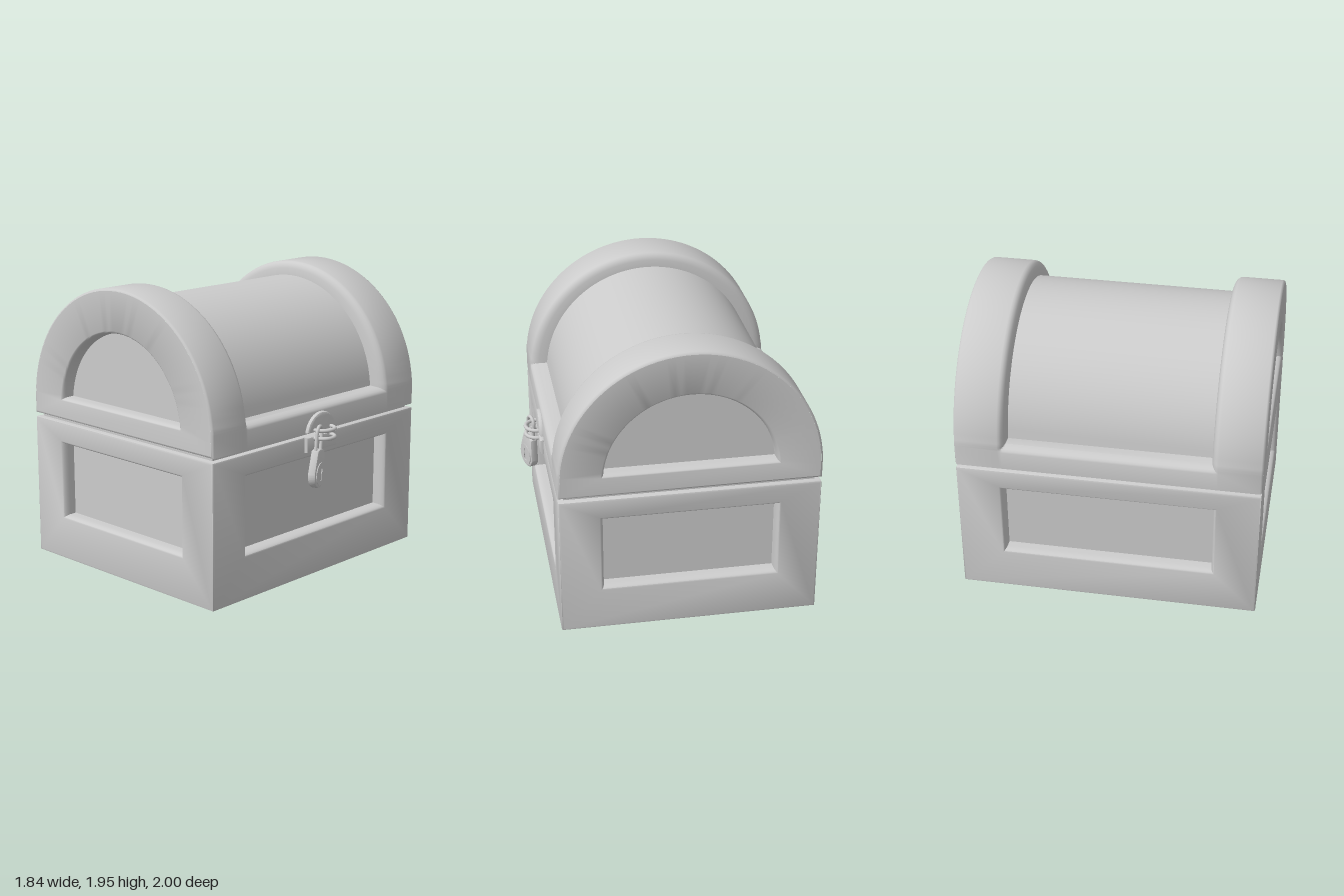
import * as THREE from 'three';
import { toCreasedNormals } from 'three/addons/utils/BufferGeometryUtils.js';

const material = new THREE.MeshStandardMaterial({ color: 0xcccccc });
const CX = -0.065, HW = 0.855, HD = 1;         // chest centre in x, half width, half depth
const BASE_TOP = 0.97, LID_BOTTOM = 0.995, ARC_Y = 1.09;
const V = (x, y, z) => new THREE.Vector3(x, y, z);

// Rounded step into a recess: [sideways share, depth share]
const STEP = [[0, 0], [0.3, 0.04], [0.55, 0.13], [0.78, 0.28], [0.93, 0.5], [1, 1]];

function mesh(name, geometry, parent) {
  const m = new THREE.Mesh(geometry, material);
  m.name = name;
  parent.add(m);
  return m;
}

// Skin closed rings of equal length; optionally fill the last ring
function loft(rings, cap) {
  const pos = [];
  const tri = (a, b, c) => pos.push(...a.toArray(), ...b.toArray(), ...c.toArray());
  const n = rings[0].length;
  for (let r = 0; r < rings.length - 1; r++) {
    for (let i = 0; i < n; i++) {
      const j = (i + 1) % n, a = rings[r], b = rings[r + 1];
      tri(a[i], a[j], b[j]);
      tri(a[i], b[j], b[i]);
    }
  }
  if (cap) {
    const last = rings[rings.length - 1], c = V(0, 0, 0);
    last.forEach(p => c.add(p));
    c.divideScalar(n);
    last.forEach((p, i) => tri(c, p, last[(i + 1) % n]));
  }
  const g = new THREE.BufferGeometry();
  g.setAttribute('position', new THREE.Float32BufferAttribute(pos, 3));
  return toCreasedNormals(g, 0.7);
}

const rect = (w, h, z) => [V(-w, -h, z), V(w, -h, z), V(w, h, z), V(-w, h, z)];

// Arched outline: flat bottom at y0, semicircle about ARC_Y
function arch(r, y0, z) {
  const a = Math.max(0, Math.asin((y0 - ARC_Y) / r)), pts = [V(r * Math.cos(a), y0, z)];
  for (let i = 0; i <= 48; i++) {
    const t = a + (Math.PI - 2 * a) * i / 48;
    pts.push(V(r * Math.cos(t), ARC_Y + r * Math.sin(t), z));
  }
  pts.push(V(-r * Math.cos(a), y0, z));
  return pts;
}

// Rectangular face with softened border and a recessed panel
function panelFace(w, h, pw, ph, oy = 0) {
  const rings = [rect(w - 0.005, h - 0.005, -0.005), rect(w - 0.015, h - 0.015, 0)];
  for (const [s, k] of STEP) {
    rings.push(rect(pw + 0.025 * (1 - s), ph + 0.025 * (1 - s), -0.09 * k).map(p => p.add(V(0, oy, 0))));
  }
  return loft(rings, true);
}

function buildBase() {
  const base = new THREE.Group(), h = BASE_TOP / 2;
  base.name = 'base';
  for (let i = 0; i < 4; i++) {
    const side = i % 2 === 1;
    const m = mesh(['frontPanel', 'leftPanel', 'backPanel', 'rightPanel'][i],
      panelFace(side ? HD : HW, h, side ? 0.69 : 0.565, 0.25, 0.565 - h), base);
    m.rotation.y = i * Math.PI / 2;
    m.position.set(0, h, 0).add(V(0, 0, side ? HW : HD).applyAxisAngle(V(0, 1, 0), m.rotation.y));
  }
  mesh('bottomPanel', panelFace(HW, HD, 0.565, 0.69), base).rotation.x = Math.PI / 2;
  const top = mesh('baseTop', loft([rect(HW - 0.005, HD - 0.005, -0.005), rect(HW - 0.015, HD - 0.015, 0)], true), base);
  top.rotation.x = -Math.PI / 2;
  top.position.y = BASE_TOP;
  return base;
}

// Lid cross-section at z: depth share kz sinks the barrel, the lower rim stays full width
function lidRing(z, kz, inset) {
  const half = [[HW - inset, LID_BOTTOM + inset]];
  for (const [s, k] of STEP) half.push([HW - inset - 0.1175 * Math.min(k, kz), 1.12 + 0.04 * s]);
  const pts = half.map(([x, y]) => V(x, y, z));
  const r = HW - inset - 0.1175 * kz, a = 0.11;
  for (let i = 0; i <= 56; i++) {
    const t = a + (Math.PI - 2 * a) * i / 56;
    pts.push(V(r * Math.cos(t), ARC_Y + 0.02 * kz + r * Math.sin(t), z));
  }
  half.reverse().forEach(([x, y]) => pts.push(V(-x, y, z)));
  return pts;
}

function buildLid() {
  const lid = new THREE.Group();
  lid.name = 'lid';
  // Barrel with a raised band at each end
  const stations = [[1, 0, 0.015], [0.995, 0, 0.005], [0.985, 0, 0]];
  STEP.forEach(([s, k]) => stations.push([0.715 - 0.048 * s, k, 0]));
  const back = stations.map(([z, k, o]) => lidRing(-z, k, o));
  const front = stations.map(([z, k, o]) => lidRing(z, k, o)).reverse();
  mesh('barrel', loft([...back, ...front], false), lid);
  // Arched end faces with recessed panels
  const rings = [arch(HW - 0.015, LID_BOTTOM + 0.015, 0)];
  for (const [s, k] of STEP) rings.push(arch(0.58 - 0.022 * s, 1.125 + 0.02 * s, -0.09 * k));
  const end = loft(rings, true);
  mesh('frontArch', end, lid).position.z = HD;
  const rear = mesh('backArch', end, lid);
  rear.position.z = -HD;
  rear.rotation.y = Math.PI;
  return lid;
}

function extrude(shape, depth, bevel) {
  return toCreasedNormals(new THREE.ExtrudeGeometry(shape, {
    depth, curveSegments: 24, bevelEnabled: bevel > 0, bevelThickness: bevel,
    bevelSize: bevel, bevelOffset: -bevel, bevelSegments: 2 }), 0.6);
}

function buildHasp() {
  const hasp = new THREE.Group();
  hasp.name = 'hasp';
  // Rounded plate on the lid, square plate on the base
  const upper = new THREE.Shape();
  const a = 0.14;
  upper.absarc(0, 0.975, 0.145, a, Math.PI - a, false);
  upper.closePath();
  const lower = new THREE.Shape([[-0.15, 0.865], [0.15, 0.865], [0.15, 0.968], [-0.15, 0.968]]
    .map(([x, y]) => new THREE.Vector2(x, y)));
  for (const [name, shape] of [['upperPlate', upper], ['lowerPlate', lower]]) {
    const m = mesh(name, extrude(shape, 0.02, 0.015), hasp);
    m.rotation.y = Math.PI / 2;
    m.position.x = 0.78;
  }
  // Two staples that hold the padlock
  for (const y of [1.01, 0.955]) {
    const m = mesh('staple', new THREE.TorusGeometry(0.08, 0.013, 10, 24, Math.PI), hasp);
    m.rotation.set(Math.PI / 2, 0, -Math.PI / 2);
    m.position.set(0.815, y, 0);
  }
  return hasp;
}

function buildPadlock() {
  const lock = new THREE.Group();
  lock.name = 'padlock';
  // Teardrop body
  const body = new THREE.Shape();
  const cy = -0.29, r = 0.093;
  body.moveTo(-0.06, -0.14);
  body.lineTo(-r, cy + 0.01);
  body.absarc(0, cy, r, Math.PI, Math.PI * 2, false);
  body.lineTo(0.06, -0.14);
  body.quadraticCurveTo(0, -0.11, -0.06, -0.14);
  mesh('lockBody', extrude(body, 0.03, 0.012), lock).position.z = -0.015;
  // Round face plate with keyhole
  const face = new THREE.Shape().absarc(0, cy, 0.074, 0, Math.PI * 2, false);
  const hole = new THREE.Path();
  hole.moveTo(-0.02, cy - 0.045);
  hole.lineTo(0.02, cy - 0.045);
  hole.lineTo(0.012, cy + 0.005);
  hole.absarc(0, cy + 0.022, 0.023, -0.9, Math.PI + 0.9, false);
  hole.closePath();
  face.holes.push(hole);
  mesh('keyholePlate', extrude(face, 0.012, 0), lock).position.z = 0.02;
  // Shackle
  const pts = [V(-0.045, -0.15, 0), V(-0.045, -0.08, 0)];
  for (let i = 0; i <= 8; i++) {
    const t = Math.PI * (1 - i / 8);
    pts.push(V(0.045 * Math.cos(t), -0.025 + 0.045 * Math.sin(t), 0));
  }
  pts.push(V(0.045, -0.08, 0), V(0.045, -0.15, 0));
  mesh('shackle', new THREE.TubeGeometry(new THREE.CatmullRomCurve3(pts), 40, 0.012, 10), lock);
  lock.rotation.set(0, Math.PI / 2 + 0.35, -0.18);
  lock.position.set(0.85, 1.02, 0.07);
  return lock;
}

export function createModel() {
  const model = new THREE.Group();
  model.name = 'chest';
  const chest = new THREE.Group();
  chest.name = 'chestBody';
  chest.position.x = CX;
  chest.add(buildBase(), buildLid());
  // Narrow core that shows in the gap under the lid
  const core = mesh('core', new THREE.BoxGeometry(2 * HW - 0.08, 0.06, 2 * HD - 0.08), chest);
  core.position.y = (BASE_TOP + LID_BOTTOM) / 2;
  model.add(chest, buildHasp(), buildPadlock());
  return model;
}
